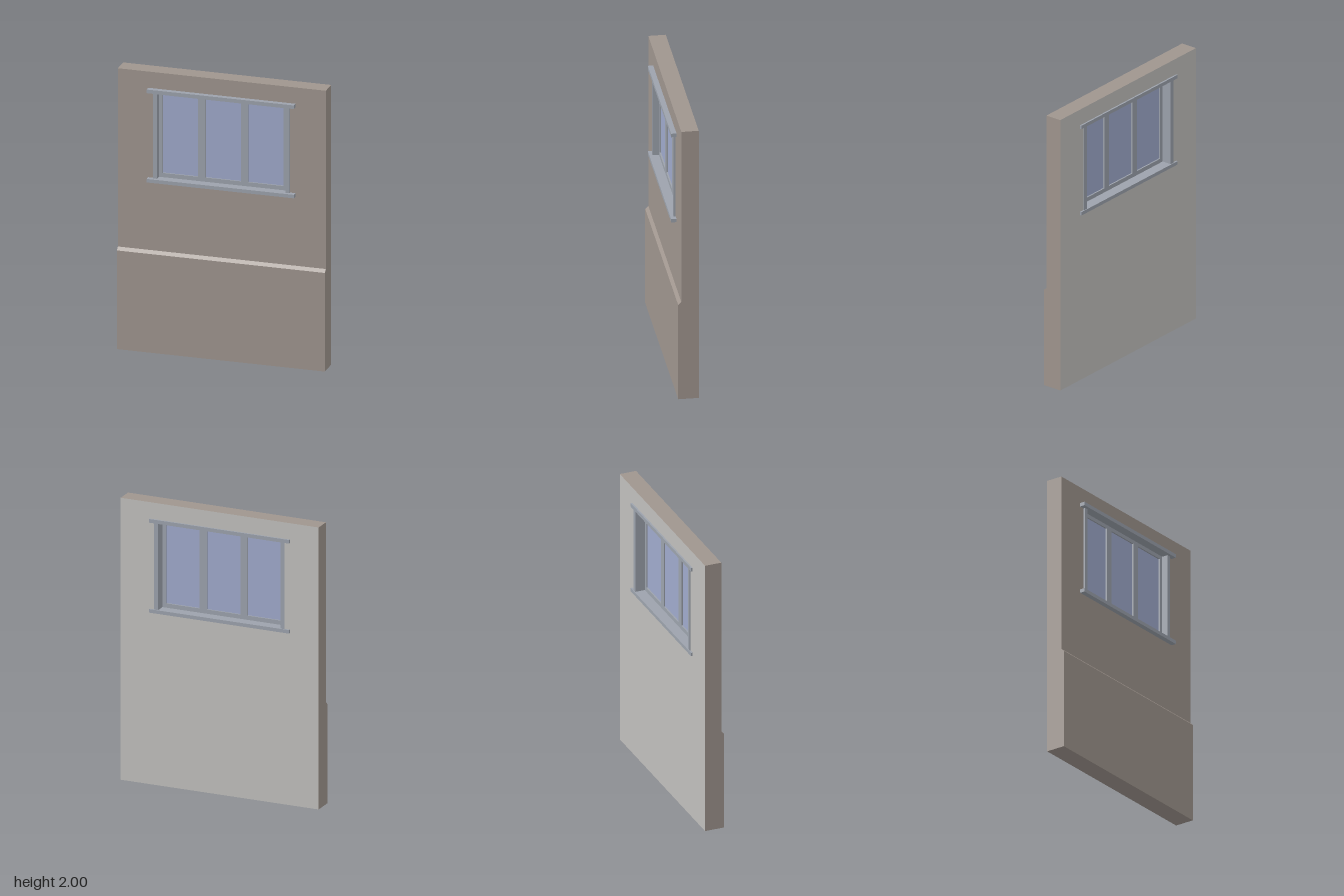
import * as THREE from 'three';

const mat = (name, color) => {
  const m = new THREE.MeshStandardMaterial({ color });
  m.name = name;
  return m;
};

// Rectangle outline, as a Shape or as a Path for holes
function rect(x0, y0, x1, y1, Type = THREE.Shape) {
  return new Type([[x0, y0], [x1, y0], [x1, y1], [x0, y1]].map(([x, y]) => new THREE.Vector2(x, y)));
}

// Plate with rectangular holes, from z0 to z1
function plate(outline, holes, z0, z1) {
  const shape = rect(...outline);
  holes.forEach((h) => shape.holes.push(rect(...h, THREE.Path)));
  const g = new THREE.ExtrudeGeometry(shape, { depth: z1 - z0, bevelEnabled: false });
  return g.translate(0, 0, z0);
}

// Box given by its limits
function box(x0, x1, y0, y1, z0, z1) {
  const g = new THREE.BoxGeometry(x1 - x0, y1 - y0, z1 - z0);
  return g.translate((x0 + x1) / 2, (y0 + y1) / 2, (z0 + z1) / 2);
}

export function createModel() {
  const model = new THREE.Group();
  const brown = mat('wall brown', 0x9f958e);
  const grey = mat('plaster grey', 0xc0bfbc);
  const steel = mat('window frame grey', 0x9ca2ac);
  const blue = mat('glass blue', 0x9fa9cb);

  const add = (name, geometry, material, parent = model) => {
    const mesh = new THREE.Mesh(geometry, material);
    mesh.name = name;
    parent.add(mesh);
  };

  // Wall panel with the window opening, and its plastered back (brown edges)
  const W = 0.73;
  const opening = [-0.466, 1.233, 0.466, 1.87];
  add('wall', plate([-W, 0, W, 2], [opening], -0.068, 0.047), brown);
  add('backPlaster', plate([-W, 0, W, 2], [opening], -0.071, -0.068), [grey, brown]);

  // Thicker lower wall with a sloped top edge: (z, y) profile swept along x
  const profile = new THREE.Shape(
    [[0.047, 0], [0.068, 0], [0.068, 0.705], [0.047, 0.726]].map(([z, y]) => new THREE.Vector2(-z, y)).reverse()
  );
  const plinth = new THREE.ExtrudeGeometry(profile, { depth: 2 * W, bevelEnabled: false });
  plinth.rotateY(Math.PI / 2).translate(-W, 0, 0);
  add('lowerWall', plinth, brown);

  // Window: head and sill boards run through the wall, with jambs between
  const win = new THREE.Group();
  win.name = 'window';
  model.add(win);
  const bottom = 1.245, top = 1.858;
  add('sill', box(-0.517, 0.517, 1.22, bottom, -0.083, 0.083), steel, win);
  add('head', box(-0.517, 0.517, top, 1.884, -0.083, 0.083), steel, win);
  for (const s of [-1, 1]) {
    const g = box(-0.0145, 0.0145, bottom, top, -0.077, 0.061).translate(s * 0.4655, 0, 0);
    add(s > 0 ? 'leftJamb' : 'rightJamb', g, steel, win);
  }

  // Sash with three lights
  const lights = [-0.3, 0, 0.3].map((x) => [x - 0.124, 1.275, x + 0.124, 1.832]);
  add('sash', plate([-0.451, bottom, 0.451, top], lights, -0.008, 0.018), steel, win);
  lights.forEach(([x0, y0, x1, y1], i) =>
    add('glass' + (i + 1), box(x0, x1, y0, y1, 0.002, 0.008), blue, win));

  return model;
}
